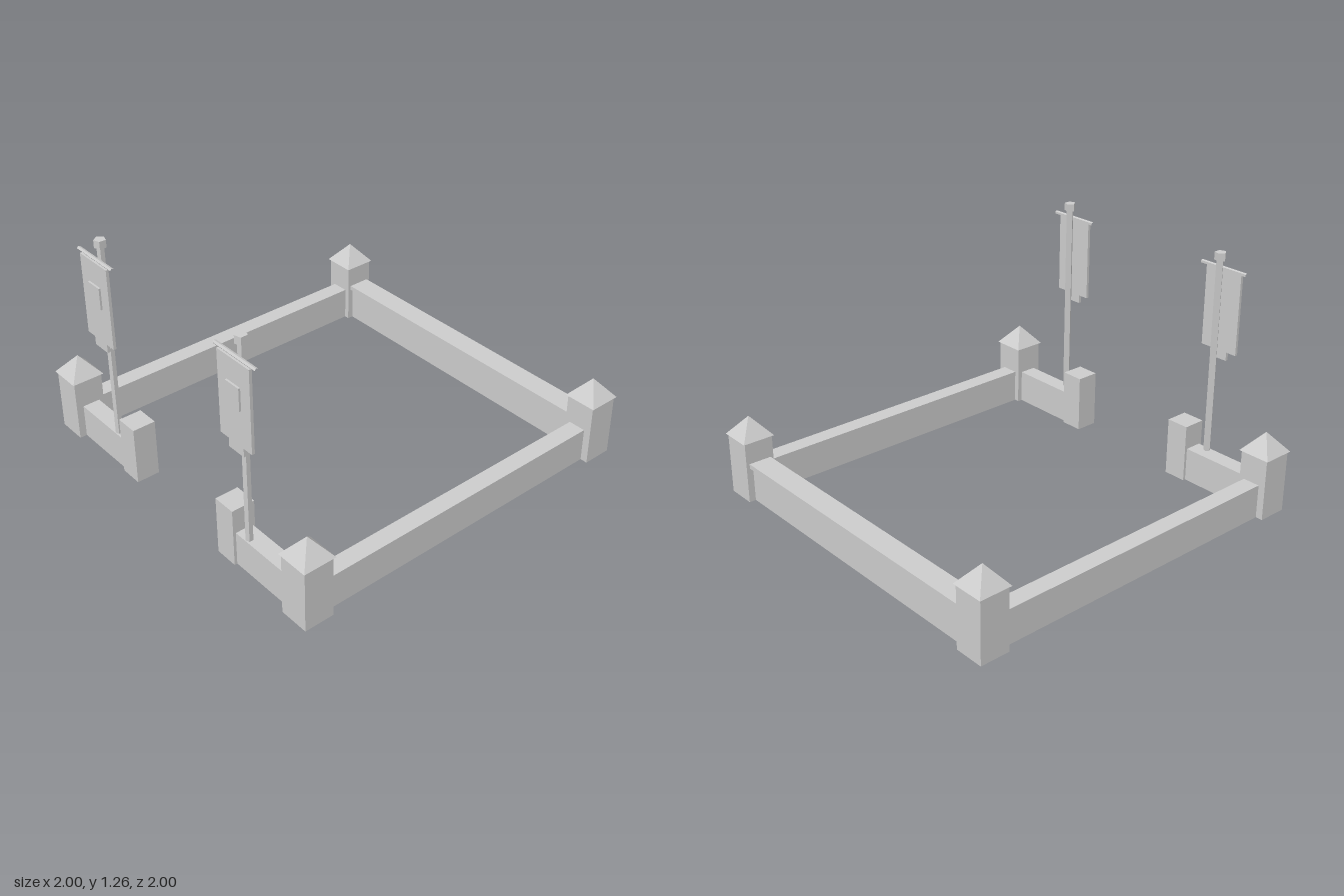
import * as THREE from 'three';

const stone = new THREE.MeshStandardMaterial({ color: 0xcccccc, flatShading: true });
stone.name = 'stoneGrey';

function add(parent, name, geometry, x, y, z) {
  const mesh = new THREE.Mesh(geometry, stone);
  mesh.name = name;
  mesh.position.set(x, y, z);
  parent.add(mesh);
  return mesh;
}

// Box given by its extents on each axis
function box(parent, name, x0, x1, y0, y1, z0, z1) {
  return add(parent, name, new THREE.BoxGeometry(x1 - x0, y1 - y0, z1 - z0),
    (x0 + x1) / 2, (y0 + y1) / 2, (z0 + z1) / 2);
}

// Five-sided upright rod with one edge pointing to -x
function rod(parent, name, r, y0, y1, z) {
  return add(parent, name,
    new THREE.CylinderGeometry(r, r, y1 - y0, 5, 1, false, -Math.PI / 2),
    0, (y0 + y1) / 2, z);
}

// Corner pillar with pyramid roof
function createPillar(x, z) {
  const g = new THREE.Group();
  g.name = 'cornerPillar';
  box(g, 'pillarBody', -0.079, 0.079, 0, 0.33, -0.079, 0.079);
  const roof = new THREE.ConeGeometry(0.088 * Math.SQRT2, 0.105, 4);
  roof.rotateY(Math.PI / 4);
  add(g, 'pillarRoof', roof, 0, 0.3825, 0);
  g.position.set(x, 0, z);
  return g;
}

// Pole with a crossbar, hanging cloth and raised square
function createBanner(x) {
  const g = new THREE.Group();
  g.name = 'bannerPole';
  rod(g, 'pole', 0.0185, 0, 1.22, 0.932);
  rod(g, 'poleKnob', 0.03, 1.22, 1.26, 0.932);

  const bar = new THREE.CylinderGeometry(0.01, 0.01, 0.284, 5, 1, true);
  bar.rotateZ(Math.PI / 2);
  add(g, 'crossbar', bar, 0, 1.169, 0.965);

  const cloth = new THREE.Shape([
    [-0.11, 1.16], [-0.11, 0.735], [-0.052, 0.735], [-0.052, 0.69],
    [0.052, 0.69], [0.052, 0.735], [0.11, 0.735], [0.11, 1.16],
  ].map(([px, py]) => new THREE.Vector2(px, py)));
  add(g, 'bannerCloth',
    new THREE.ExtrudeGeometry(cloth, { depth: 0.015, bevelEnabled: false }), 0, 0, 0.965);
  box(g, 'bannerSquare', -0.046, 0.046, 0.925, 1.04, 0.98, 0.99);
  g.position.x = x;
  return g;
}

export function createModel() {
  const model = new THREE.Group();
  model.name = 'walledYard';

  // Back wall with overhanging cap
  box(model, 'backWall', -0.84, 0.84, 0, 0.187, -0.955, -0.865);
  box(model, 'backWallCap', -0.84, 0.84, 0.187, 0.212, -0.973, -0.85);

  for (const s of [-1, 1]) {
    for (const z of [-0.912, 0.912]) model.add(createPillar(s * 0.912, z));

    // Side wall, short front wall and gate post
    const wall = (name, a, b, h, z0, z1) =>
      box(model, name, Math.min(s * a, s * b), Math.max(s * a, s * b), 0, h, z0, z1);
    wall('sideWall', 0.86, 0.953, 0.18, -0.84, 0.84);
    wall('frontWall', 0.45, 0.84, 0.18, 0.86, 0.953);
    wall('gatePost', 0.333, 0.457, 0.31, 0.845, 0.968);

    model.add(createBanner(s * 0.53));
  }
  return model;
}
